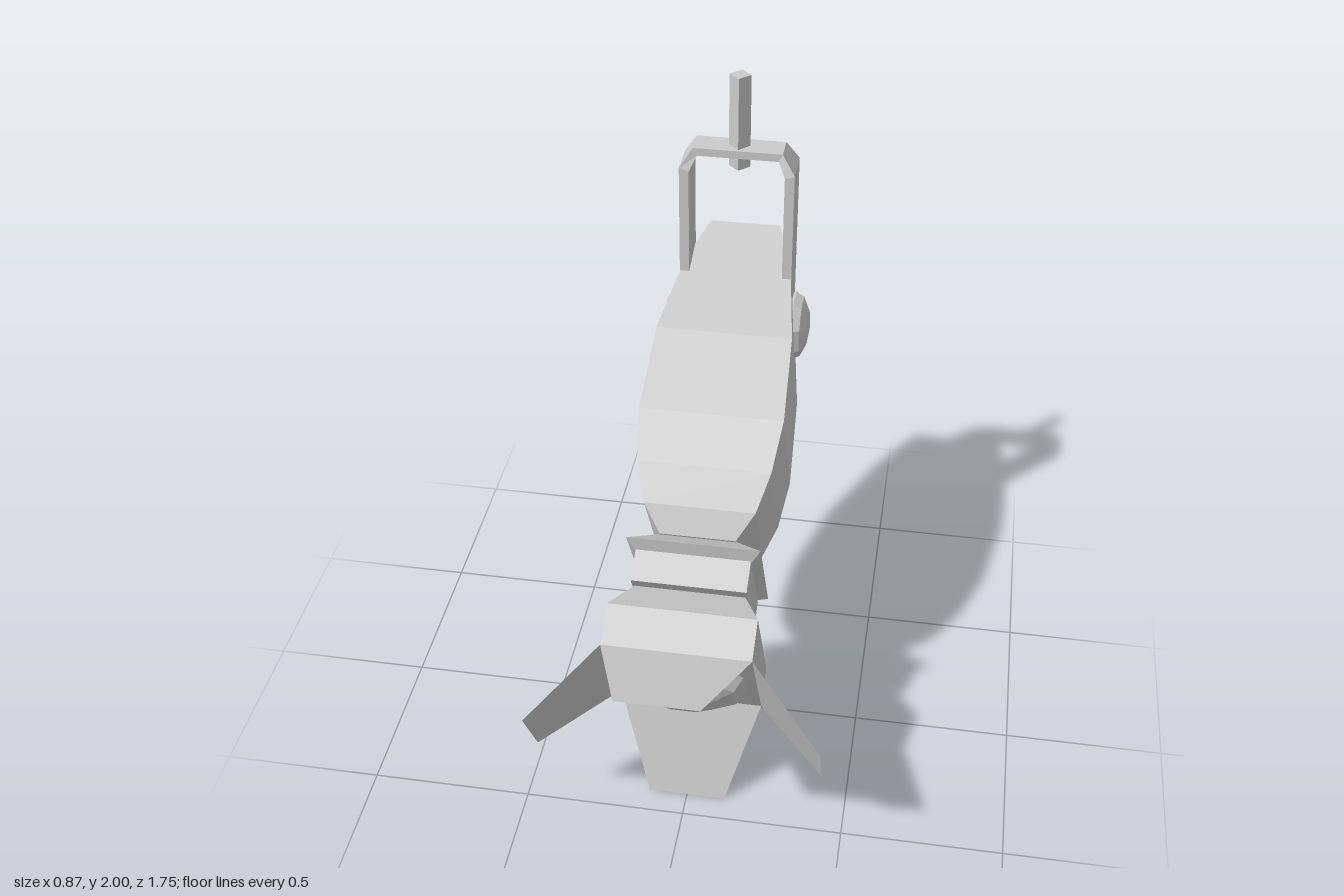
import * as THREE from 'three';

const material = new THREE.MeshStandardMaterial({ color: 0xcccccc, flatShading: true });
const sheetMaterial = new THREE.MeshStandardMaterial({ color: 0xcccccc, flatShading: true, side: THREE.DoubleSide });

function add(parent, name, geometry, mat = material) {
  const mesh = new THREE.Mesh(geometry, mat);
  mesh.name = name;
  parent.add(mesh);
  return mesh;
}

// Flat-faced solid through four-cornered rings, capped at both ends
function loft(rings) {
  const positions = [];
  const quad = (a, b, c, d) => [a, b, c, a, c, d].forEach((p) => positions.push(...p));
  for (let i = 0; i < rings.length - 1; i++) {
    for (let k = 0; k < 4; k++) {
      const n = (k + 1) % 4;
      quad(rings[i][k], rings[i][n], rings[i + 1][n], rings[i + 1][k]);
    }
  }
  const first = rings[0];
  quad(first[3], first[2], first[1], first[0]);
  quad(...rings[rings.length - 1]);
  const geometry = new THREE.BufferGeometry();
  geometry.setAttribute('position', new THREE.Float32BufferAttribute(positions, 3));
  geometry.computeVertexNormals();
  return geometry;
}

// Rectangular sections along z, each [z, half width, half height]
function boxLoft(sections, cy) {
  return loft(sections.map(([z, w, h]) => [
    [w, cy + h, z], [-w, cy + h, z], [-w, cy - h, z], [w, cy - h, z],
  ]));
}

function sheet(a, b, c, d) {
  const geometry = new THREE.BufferGeometry();
  geometry.setAttribute('position', new THREE.Float32BufferAttribute([a, b, c, a, c, d].flat(), 3));
  geometry.computeVertexNormals();
  return geometry;
}

export function createModel() {
  const model = new THREE.Group();
  model.name = 'stageLight';

  // Lamp head, tilted down 30 degrees about its pivot
  const head = new THREE.Group();
  head.name = 'lampHead';
  head.position.set(0, 1.145, -0.595);
  head.rotation.x = Math.PI / 6;
  model.add(head);

  add(head, 'housing', boxLoft([
    [-0.278, 0.112, 0.117], [-0.11, 0.168, 0.162], [0.18, 0.21, 0.235], [0.46, 0.22, 0.247],
    [0.623, 0.202, 0.228], [0.74, 0.168, 0.19], [0.815, 0.115, 0.14],
  ], 0.03));

  // Flange, neck block and flare up to the square front frame
  add(head, 'flange', boxLoft([
    [0.812, 0.115, 0.14], [0.862, 0.2, 0.223], [0.887, 0.17, 0.17],
  ], 0.017));
  add(head, 'neckBlock', boxLoft([[0.885, 0.172, 0.191], [0.982, 0.172, 0.191]], 0.015));
  add(head, 'frontFrame', boxLoft([
    [0.98, 0.165, 0.145], [1.075, 0.22, 0.246], [1.2, 0.22, 0.246],
  ], 0.012));

  // Faceted lens dome
  const lens = add(head, 'lens', new THREE.SphereGeometry(1, 8, 3, Math.PI / 8, Math.PI * 2, 0, Math.PI / 2));
  lens.rotation.x = Math.PI / 2;
  lens.scale.set(0.2, 0.09, 0.2);
  lens.position.set(0, 0.004, 1.201);

  // Four thin flaps flaring from the frame
  const z = 1.2, top = 0.258, bottom = -0.234, w = 0.22;
  add(head, 'topFlap', sheet(
    [-w, top, z], [w, top, z], [0.12, top + 0.22, z + 0.213], [-0.12, top + 0.22, z + 0.213],
  ), sheetMaterial);
  add(head, 'bottomFlap', sheet(
    [-w, bottom, z], [w, bottom, z], [0.12, bottom - 0.25, z + 0.25], [-0.12, bottom - 0.25, z + 0.25],
  ), sheetMaterial);
  for (const side of [1, -1]) {
    add(head, side > 0 ? 'leftFlap' : 'rightFlap', sheet(
      [side * w, bottom, z], [side * w, top, z], [side * 0.435, 0.122, 1.415], [side * 0.435, -0.148, 1.415],
    ), sheetMaterial);
  }

  // Pivot knobs: flattened spheres with their poles on x
  for (const side of [1, -1]) {
    const geometry = new THREE.SphereGeometry(1, 8, 6);
    geometry.rotateY(Math.PI / 8);
    geometry.scale(0.112, 0.052, 0.112);
    geometry.rotateZ(-side * Math.PI / 2);
    const knob = add(model, side > 0 ? 'leftKnob' : 'rightKnob', geometry);
    knob.position.set(side * 0.185, 1.145, -0.595);
  }

  // Yoke: a strap up one side, across and down the other
  // Each station is [outer x, outer y, inner x, inner y, half depth]
  const half = [
    [0.177, 1.1, 0.147, 1.1, 0.063],
    [0.177, 1.71, 0.147, 1.7, 0.063],
    [0.137, 1.77, 0.125, 1.745, 0.042],
  ];
  const mirrored = half.map(([ox, oy, ix, iy, d]) => [-ox, oy, -ix, iy, d]).reverse();
  const yoke = add(model, 'yoke', loft([...half, ...mirrored].map(([ox, oy, ix, iy, d]) => [
    [ox, oy, d], [ox, oy, -d], [ix, iy, -d], [ix, iy, d],
  ])));
  yoke.position.z = -0.603;

  // Square hanging pin, set corner-on
  const pin = add(model, 'hangingPin', new THREE.CylinderGeometry(0.033, 0.033, 0.3, 4));
  pin.position.set(0, 1.85, -0.603);

  return model;
}
